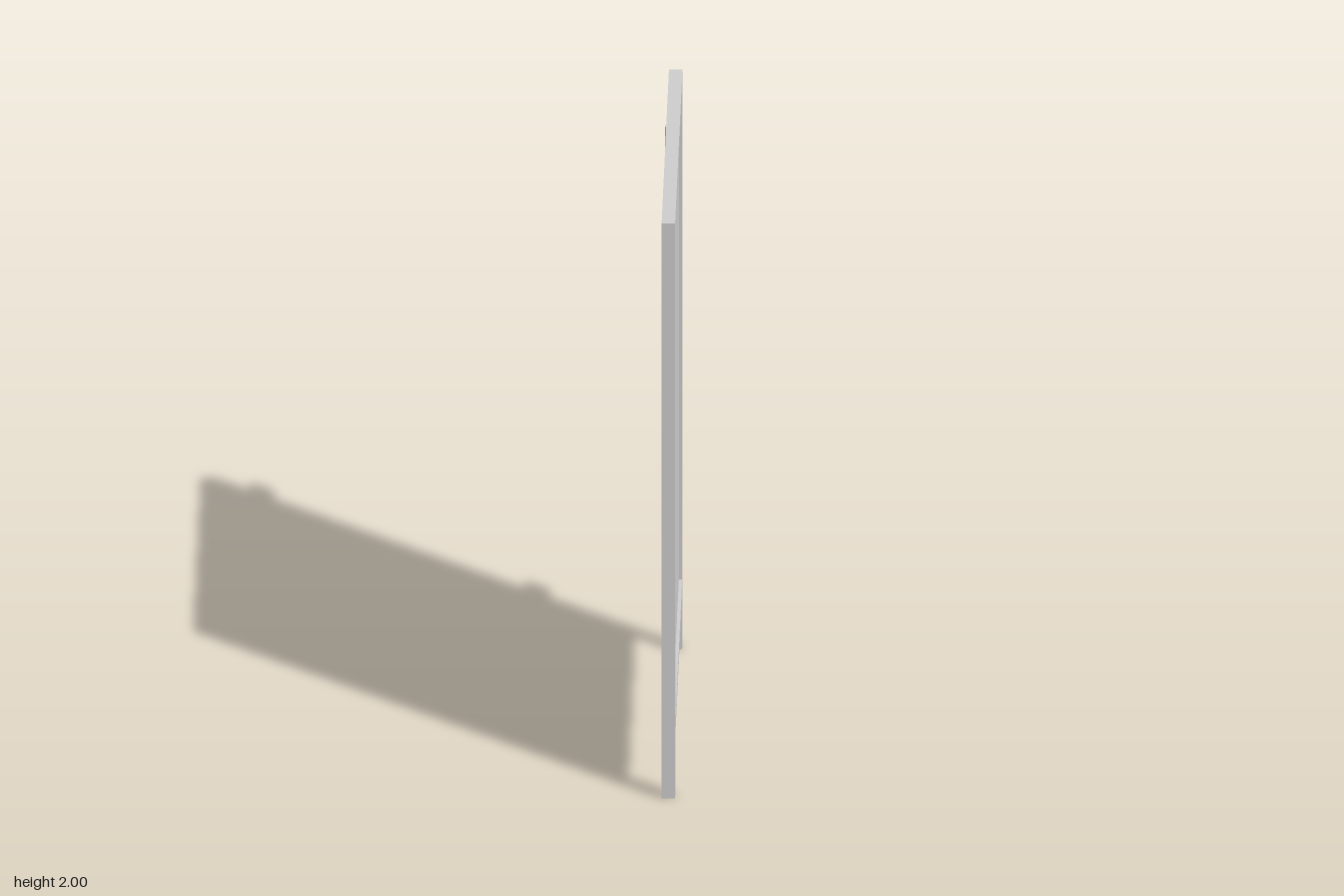
import * as THREE from 'three';

const BACK = -0.4, FRONT = 0.47, POST = 0.028; // z extents and post width
const X0 = -0.015, X1 = 0.025;                 // frame faces in x

const material = new THREE.MeshStandardMaterial({ color: 0xcccccc });

function part(name, geometry, x, y, z) {
  const mesh = new THREE.Mesh(geometry, material);
  mesh.name = name;
  mesh.position.set(x, y, z);
  return mesh;
}

// Tubular frame: two legs, top rail and bottom rail, drawn in z/y and extruded along x
function frameGeometry() {
  const a = BACK + POST, b = FRONT - POST;
  const points = (list) => list.map(([z, y]) => new THREE.Vector2(z, y));
  const shape = new THREE.Shape(points([
    [BACK, 0], [a, 0], [a, 0.2], [b, 0.2], [b, 0], [FRONT, 0], [FRONT, 2], [BACK, 2],
  ]));
  shape.holes.push(new THREE.Path(points([[a, 0.243], [a, 1.963], [b, 1.963], [b, 0.243]])));
  const geometry = new THREE.ExtrudeGeometry(shape, { depth: X1 - X0, bevelEnabled: false });
  return geometry.rotateY(-Math.PI / 2).translate(X1, 0, 0);
}

// Hinge: thin leaf plates either side of a round barrel
function hinge(y) {
  const group = new THREE.Group();
  group.name = 'hinge';
  group.position.set(-0.017, y, -0.423);
  group.add(part('hingeBarrel', new THREE.CylinderGeometry(0.0105, 0.0105, 0.1, 20), 0, 0, 0));
  for (const side of [-1, 1]) {
    group.add(part('hingeLeaf', new THREE.BoxGeometry(0.002, 0.1, 0.048), 0, 0, side * 0.024));
  }
  return group;
}

export function createModel() {
  const model = new THREE.Group();
  model.name = 'gatePanel';
  model.add(part('frame', frameGeometry(), 0, 0, 0));

  // Infill sheet, recessed on both faces
  const width = FRONT - BACK - 2 * POST;
  model.add(part('panel', new THREE.BoxGeometry(0.02, 1.72, width), 0.005, 1.103, (FRONT + BACK) / 2));

  for (const y of [0.562, 1.739]) model.add(hinge(y));
  return model;
}
